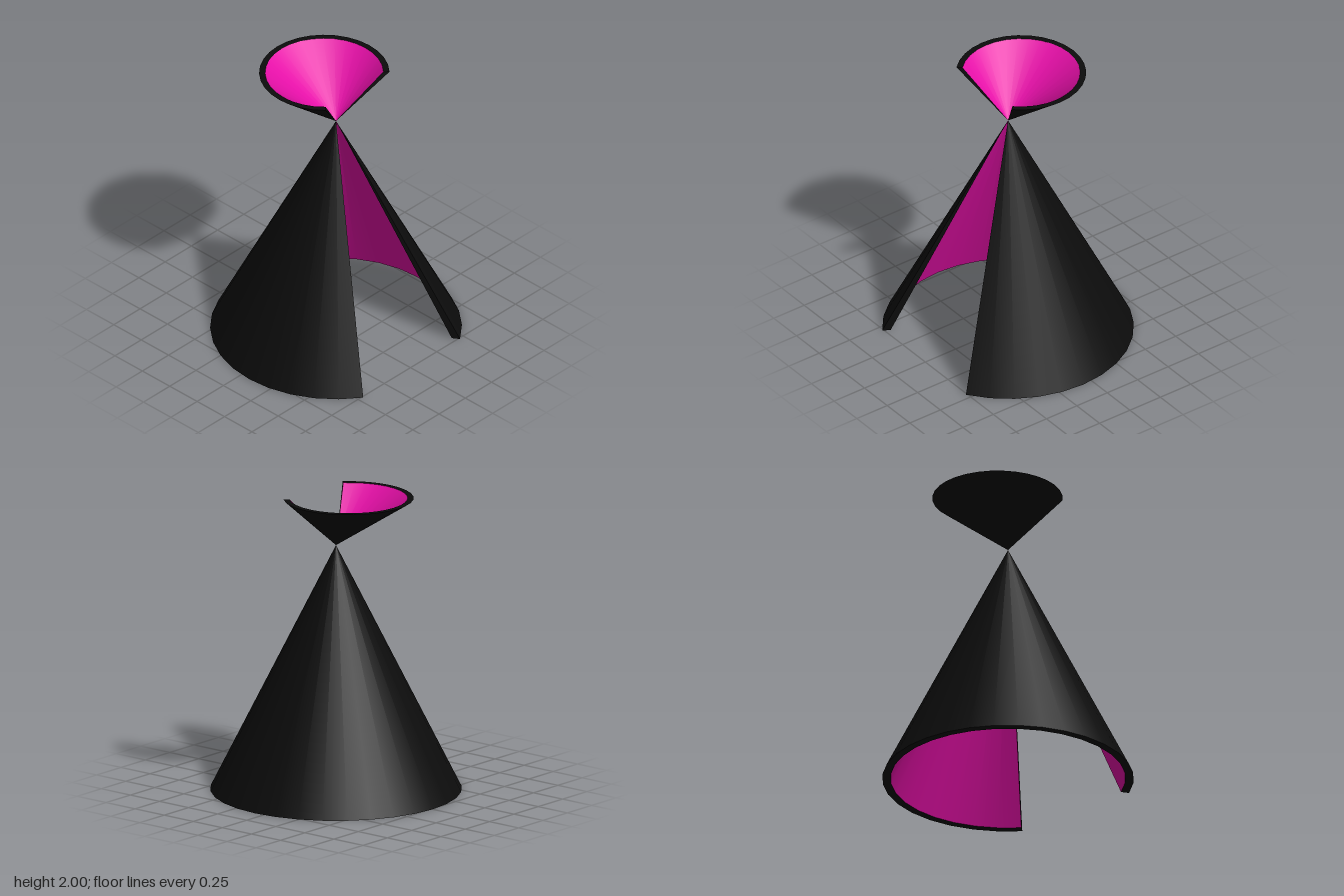
import * as THREE from 'three';

const black = new THREE.MeshStandardMaterial({ color: 0x0c0c0c });
const blackCut = new THREE.MeshStandardMaterial({ color: 0x0c0c0c, side: THREE.DoubleSide });
const pink = new THREE.MeshStandardMaterial({ color: 0xe60fa8 });

const APEX_X = 0.07, APEX_Y = 1.66, SIDES = 32;

// Hollow cone with a wedge missing towards +x. Its rim lies at rimY and the
// rim's centre is shifted by lean along x from the apex.
function coneShell(name, { rimY, outer, inner, lean, gapSteps }) {
  const group = new THREE.Group();
  group.name = name;
  const step = (Math.PI * 2) / SIDES;
  const start = Math.PI / 2 + (gapSteps / 2) * step;
  const sides = SIDES - gapSteps;
  const apex = new THREE.Vector2(0, APEX_Y);
  const rimOut = new THREE.Vector2(outer, rimY);
  const rimIn = new THREE.Vector2(inner, rimY);

  const add = (part, geometry, material) => {
    // Slant the cone so that its rim centre sits at the lean offset
    const p = geometry.attributes.position;
    for (let i = 0; i < p.count; i++) {
      const t = (p.getY(i) - APEX_Y) / (rimY - APEX_Y);
      p.setX(i, p.getX(i) + APEX_X + lean * t);
    }
    geometry.computeVertexNormals();
    const mesh = new THREE.Mesh(geometry, material);
    mesh.name = part;
    group.add(mesh);
  };
  const sweep = (a, b) => new THREE.LatheGeometry([a, b], sides, start, sides * step);

  // The profile runs counter-clockwise so every surface faces out of the wall
  const up = rimY > APEX_Y;
  add('outerWall', up ? sweep(apex, rimOut) : sweep(rimOut, apex), black);
  add('rim', up ? sweep(rimOut, rimIn) : sweep(rimIn, rimOut), black);
  add('innerLining', up ? sweep(rimIn, apex) : sweep(apex, rimIn), pink);

  // Thin wall ends on both sides of the opening
  for (const [part, angle] of [['backCutEdge', start + sides * step], ['frontCutEdge', start]]) {
    const points = [apex, rimOut, rimIn].map(
      (q) => new THREE.Vector3(q.x * Math.sin(angle), q.y, q.x * Math.cos(angle)));
    add(part, new THREE.BufferGeometry().setFromPoints(points), blackCut);
  }
  return group;
}

export function createModel() {
  const model = new THREE.Group();
  model.name = 'doubleCone';
  model.add(
    coneShell('lowerCone', { rimY: 0, outer: 0.83, inner: 0.775, lean: 0, gapSteps: 6 }),
    coneShell('upperCone', { rimY: 2, outer: 0.43, inner: 0.39, lean: -0.107, gapSteps: 8 }),
  );
  return model;
}
